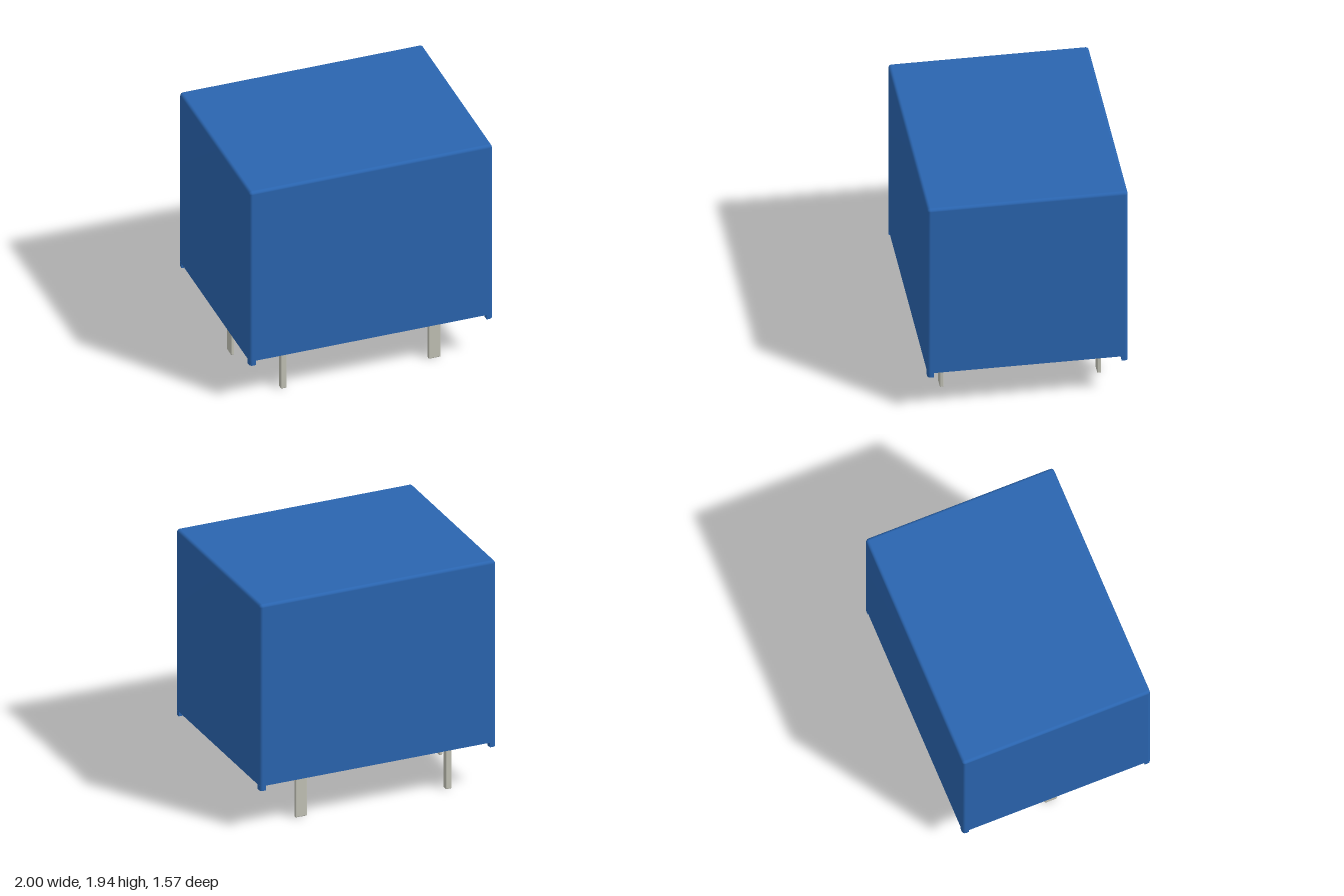
import * as THREE from 'three';
import { RoundedBoxGeometry } from 'three/addons/geometries/RoundedBoxGeometry.js';

const W = 1, D = 0.783, BOTTOM = 0.4, TOP = 1.94, R = 0.025, FOOT = 0.05;
const STEPS = 5;

// Rounded rectangle outline at height y, pulled in by inset
function ring(inset, y) {
  const points = [];
  for (let c = 0; c < 4; c++) {
    const cx = (c === 0 || c === 3 ? 1 : -1) * (W - R);
    const cz = (c < 2 ? 1 : -1) * (D - R);
    for (let i = 0; i <= STEPS; i++) {
      const a = (c + i / STEPS) * Math.PI / 2;
      points.push([cx + Math.cos(a) * (R - inset), y, cz + Math.sin(a) * (R - inset)]);
    }
  }
  return points;
}

// Housing: rounded upright and top edges, sharp flat underside
function housingGeometry() {
  const rings = [ring(0, BOTTOM)];
  for (let i = 0; i <= STEPS; i++) {
    const a = i / STEPS * Math.PI / 2;
    rings.push(ring(R * (1 - Math.cos(a)), TOP - R + R * Math.sin(a)));
  }
  const n = rings[0].length, index = [];
  for (let j = 0; j < rings.length - 1; j++) {
    for (let i = 0; i < n; i++) {
      const a = j * n + i, b = j * n + (i + 1) % n;
      index.push(a, a + n, b, b, a + n, b + n);
    }
  }
  const last = (rings.length - 1) * n, base = rings.length * n;
  rings.push(ring(0, BOTTOM), [[0, TOP, 0], [0, BOTTOM, 0]]);
  for (let i = 0; i < n; i++) {
    const k = (i + 1) % n;
    index.push(last + i, base + n, last + k);
    index.push(base + i, base + k, base + n + 1);
  }
  const g = new THREE.BufferGeometry();
  g.setAttribute('position', new THREE.Float32BufferAttribute(rings.flat(2), 3));
  g.setIndex(index);
  g.computeVertexNormals();
  return g;
}

// Stand-off foot with its outer corner rounded like the housing
function footGeometry() {
  const s = new THREE.Shape();
  s.moveTo(-FOOT, -FOOT);
  s.lineTo(0, -FOOT);
  s.lineTo(0, -R);
  s.absarc(-R, -R, R, 0, Math.PI / 2, false);
  s.lineTo(-FOOT, 0);
  s.closePath();
  const g = new THREE.ExtrudeGeometry(s, { depth: 0.04, bevelEnabled: false, curveSegments: STEPS });
  return g.rotateX(-Math.PI / 2);
}

export function createModel() {
  const model = new THREE.Group();
  const blue = new THREE.MeshStandardMaterial({ color: 0x2a65b0 });
  const metal = new THREE.MeshStandardMaterial({ color: 0xc2c2b6 });

  const add = (name, geometry, material) => {
    const mesh = new THREE.Mesh(geometry, material);
    mesh.name = name;
    model.add(mesh);
    return mesh;
  };

  add('housing', housingGeometry(), blue);

  // Feet, turned so the rounded corner faces outwards
  const foot = footGeometry();
  [[1, -1], [-1, -1], [-1, 1], [1, 1]].forEach(([sx, sz], i) => {
    const mesh = add('foot', foot, blue);
    mesh.position.set(sx * W, BOTTOM - 0.04, sz * D);
    mesh.rotation.y = i * Math.PI / 2;
  });

  // Pins: x, z, width, depth
  const addPin = (name, x, z, w, d) => {
    const h = BOTTOM + 0.03;
    add(name, new RoundedBoxGeometry(w, h, d, 2, 0.008), metal).position.set(x, h / 2, z);
  };
  addPin('commonPin', -0.868, 0, 0.028, 0.1);
  for (const z of [0.615, -0.615]) {
    addPin('coilPin', -0.666, z, 0.05, 0.05);
    addPin('contactPin', 0.58, z, 0.1, 0.032);
  }
  return model;
}
